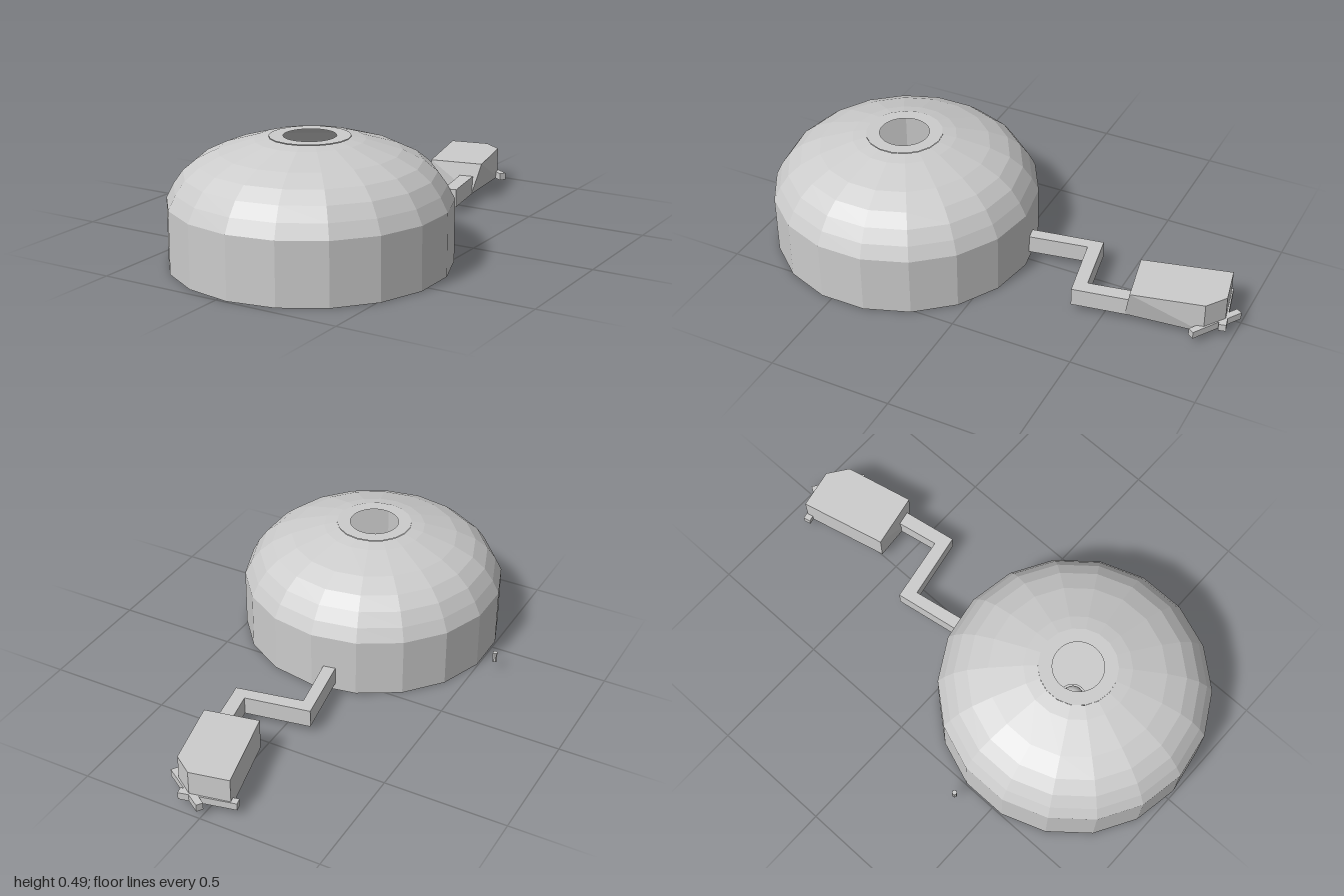
import * as THREE from 'three';

export function createModel() {
  const model = new THREE.Group();
  const material = new THREE.MeshStandardMaterial({ color: 0xcccccc, flatShading: true });
  const shellMaterial = material.clone();
  shellMaterial.side = THREE.DoubleSide;
  const smooth = new THREE.MeshStandardMaterial({ color: 0xcccccc });

  function add(name, geometry, x = 0, y = 0, z = 0, turn = 0, mat = material) {
    const mesh = new THREE.Mesh(geometry, mat);
    mesh.name = name;
    mesh.position.set(x, y, z);
    mesh.rotation.y = turn;
    model.add(mesh);
    return mesh;
  }

  // Upright prism over an outline of [x, z] corners
  function prism(corners, y0, y1) {
    const shape = new THREE.Shape(corners.map(([x, z]) => new THREE.Vector2(x, -z)));
    const g = new THREE.ExtrudeGeometry(shape, { depth: y1 - y0, bevelEnabled: false });
    return g.rotateX(-Math.PI / 2).translate(0, y0, 0);
  }

  // Hollow 18-sided bell with a closed base and a round opening on top
  const profile = [
    [0, 0], [0.543, 0], [0.543, 0.245], [0.515, 0.3], [0.478, 0.352],
    [0.425, 0.396], [0.345, 0.435], [0.21, 0.476], [0.155, 0.486],
  ].map(([r, y]) => new THREE.Vector2(r, y));
  add('bellDome', new THREE.LatheGeometry(profile, 18), 0.04, 0, 0.45, 0, shellMaterial);

  // Flat crown: joins the 18-sided dome to the round opening
  const crown = new THREE.Shape();
  for (let i = 0; i < 18; i++) {
    const a = (i / 18) * Math.PI * 2;
    const p = [0.155 * Math.sin(a), 0.155 * Math.cos(a)];
    if (i) crown.lineTo(...p); else crown.moveTo(...p);
  }
  crown.holes.push(new THREE.Path().absarc(0, 0, 0.1, 0, Math.PI * 2, true));
  const crownGeometry = new THREE.ShapeGeometry(crown, 18).rotateX(-Math.PI / 2);
  add('bellCrown', crownGeometry, 0.04, 0.488, 0.45, 0, shellMaterial);

  // Centre post inside the bell, with a collar and a round tip
  add('centrePost', new THREE.CylinderGeometry(0.055, 0.055, 0.1, 24), 0.04, 0.05, 0.45);
  add('postTip', new THREE.SphereGeometry(0.042, 24, 16), 0.04, 0.11, 0.45, 0, smooth);

  // Cranked arm
  add('arm', prism([
    [-0.04, 0.05], [-0.11, -0.37], [0.158, -0.418], [0.12, -0.62],
    [0.178, -0.63], [0.222, -0.376], [-0.053, -0.323], [0.012, 0.04],
  ], 0.03, 0.105));

  // Lever head: one cut corner, front foot pulled in toward the arm
  const head = prism([
    [-0.005, -0.572], [0.216, -0.616], [0.152, -0.9], [0.07, -0.958], [-0.09, -0.925],
  ], 0.03, 0.16);
  const pos = head.attributes.position;
  for (let i = 0; i < pos.count; i++) {
    if (pos.getY(i) < 0.1 && pos.getX(i) > 0.2) {
      pos.setX(i, 0.184);
      pos.setZ(i, -0.588);
    }
  }
  head.computeVertexNormals();
  add('leverHead', head);

  // Small rails along the back of the head
  add('backRail', new THREE.BoxGeometry(0.23, 0.03, 0.03), 0, 0.045, -0.935, 0.22);
  add('cornerRail', new THREE.BoxGeometry(0.23, 0.03, 0.028), 0.1, 0.045, -0.927, -0.58);

  // Small loose pin beside the bell
  add('pin', new THREE.CylinderGeometry(0.01, 0.01, 0.043, 8), -0.57, 0.063, 0.36);

  return model;
}
